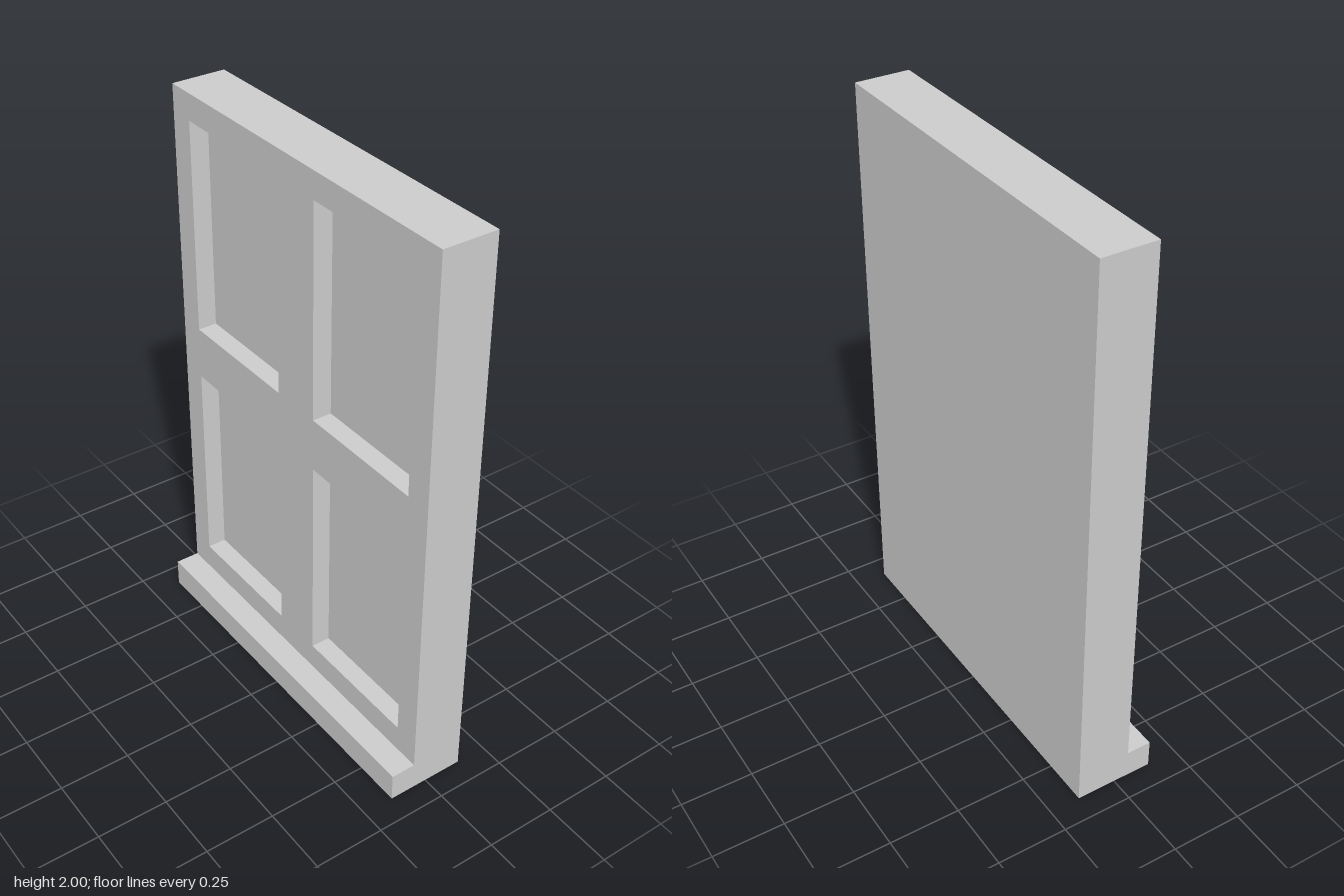
import * as THREE from 'three';

const WIDTH = 1.33, HEIGHT = 2;               // along z and y
const BACK = 0.14, FACE = -0.052, RECESS = 0.068;
const PANE_FLOOR = FACE + RECESS;

function rect(path, u0, u1, v0, v1) {
  path.moveTo(u0, v0);
  path.lineTo(u1, v0);
  path.lineTo(u1, v1);
  path.lineTo(u0, v1);
  path.closePath();
  return path;
}

export function createModel() {
  const group = new THREE.Group();
  group.name = 'window';
  const material = new THREE.MeshStandardMaterial({ color: 0xcccccc, flatShading: true });

  const add = (name, geometry, x, y) => {
    const mesh = new THREE.Mesh(geometry, material);
    mesh.name = name;
    mesh.position.set(x, y, 0);
    group.add(mesh);
  };

  // Frame with four openings, drawn in z/y and extruded towards -x
  const shape = rect(new THREE.Shape(), -WIDTH / 2, WIDTH / 2, 0, HEIGHT);
  for (const [z0, z1] of [[-0.573, -0.095], [0.095, 0.573]]) {
    for (const [y0, y1] of [[0.197, 0.957], [1.147, 1.907]]) {
      shape.holes.push(rect(new THREE.Path(), z0, z1, y0, y1));
    }
  }
  const frame = new THREE.ExtrudeGeometry(shape, { depth: RECESS, bevelEnabled: false });
  frame.rotateY(-Math.PI / 2);
  add('frame', frame, PANE_FLOOR, 0);

  // Solid panel behind the openings, forming the four panes
  const thickness = BACK - PANE_FLOOR;
  add('panePanel', new THREE.BoxGeometry(thickness, HEIGHT, WIDTH), PANE_FLOOR + thickness / 2, HEIGHT / 2);

  // Projecting sill along the bottom
  const sillDepth = FACE + 0.14, sillHeight = 0.102;
  add('sill', new THREE.BoxGeometry(sillDepth, sillHeight, WIDTH), FACE - sillDepth / 2, sillHeight / 2);

  return group;
}
